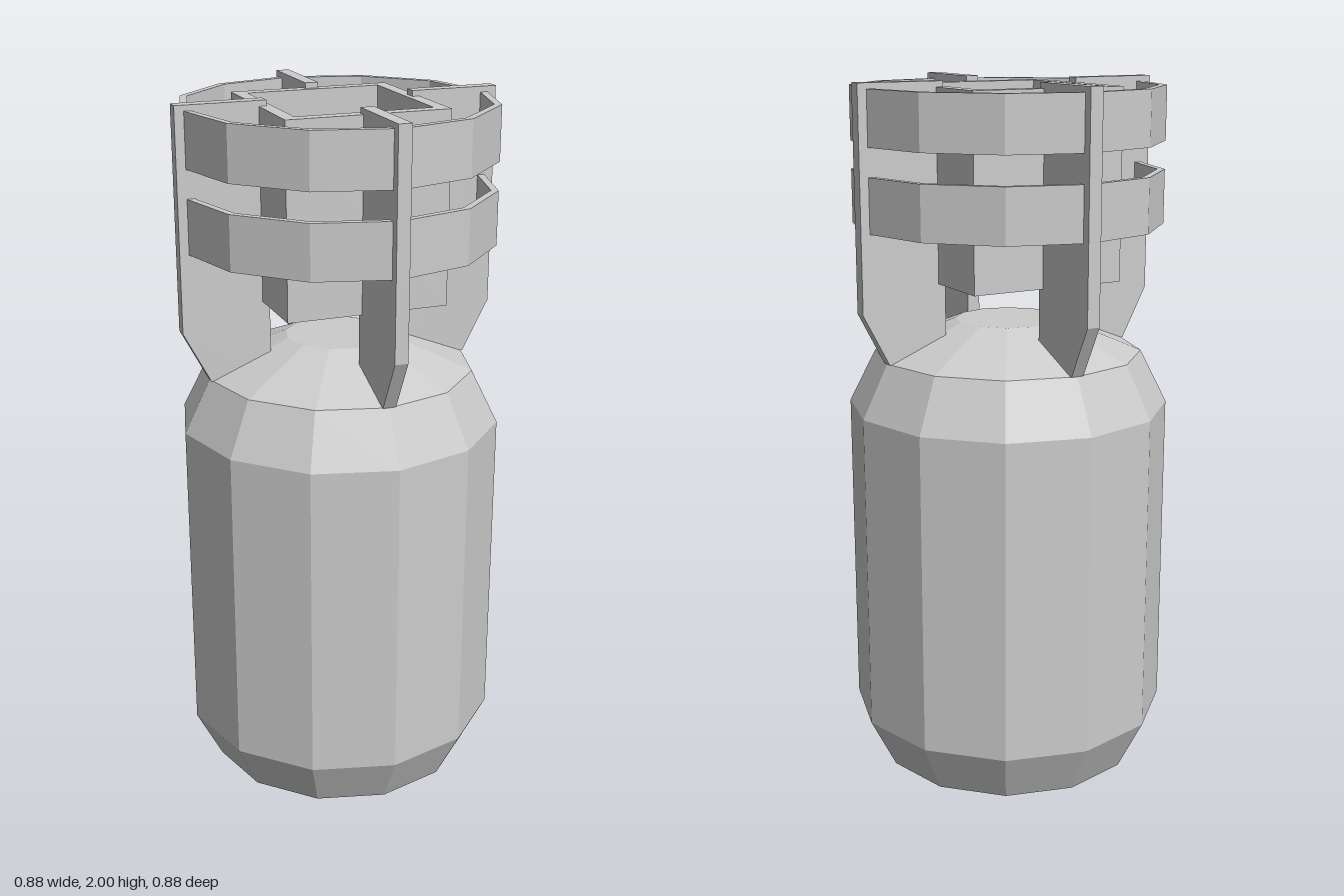
import * as THREE from 'three';

const SIDES = 12;
const material = new THREE.MeshStandardMaterial({ color: 0xcccccc, flatShading: true });

function addMesh(parent, name, geometry) {
  const mesh = new THREE.Mesh(geometry, material);
  mesh.name = name;
  parent.add(mesh);
  return mesh;
}

// Twelve-sided revolved solid from [radius, y] pairs, listed bottom to top on the outside
function lathe(points) {
  return new THREE.LatheGeometry(points.map(([r, y]) => new THREE.Vector2(r, y)), SIDES);
}

function squarePoints(h) {
  return [[-h, -h], [h, -h], [h, h], [-h, h]].map(([x, y]) => new THREE.Vector2(x, y));
}

export function createModel() {
  const model = new THREE.Group();
  model.name = 'finnedCanister';

  // Faceted body with tapered ends
  addMesh(model, 'body', lathe([
    [0, 0], [0.145, 0], [0.367, 0.095], [0.44, 0.24],
    [0.44, 1.125], [0.367, 1.27], [0.145, 1.36], [0, 1.36],
  ]));

  // Four radial tail fins, clipped at the lower outer corner
  const finThickness = 0.036;
  const finShape = new THREE.Shape([
    [0.2, 1.27], [0.367, 1.27], [0.44, 1.41], [0.44, 2], [0.2, 2],
  ].map(([x, y]) => new THREE.Vector2(x, y)));
  const finGeometry = new THREE.ExtrudeGeometry(finShape, { depth: finThickness, bevelEnabled: false });
  finGeometry.translate(0, 0, -finThickness / 2);
  const fins = new THREE.Group();
  fins.name = 'tailFins';
  for (let i = 0; i < 4; i++) {
    addMesh(fins, 'tailFin', finGeometry).rotation.y = i * Math.PI / 2;
  }
  model.add(fins);

  // Two thin bands joining the fins
  for (const [name, y0, y1] of [['lowerBand', 1.62, 1.765], ['upperBand', 1.84, 1.985]]) {
    addMesh(model, name, lathe([[0.4, y0], [0.42, y0], [0.42, y1], [0.4, y1], [0.4, y0]]));
  }

  // Open square tube in the middle of the tail
  const tubeShape = new THREE.Shape(squarePoints(0.22));
  tubeShape.holes.push(new THREE.Path(squarePoints(0.185).reverse()));
  const tube = new THREE.ExtrudeGeometry(tubeShape, { depth: 0.51, bevelEnabled: false });
  tube.rotateX(-Math.PI / 2).translate(0, 1.475, 0);
  addMesh(model, 'squareTube', tube);

  return model;
}
